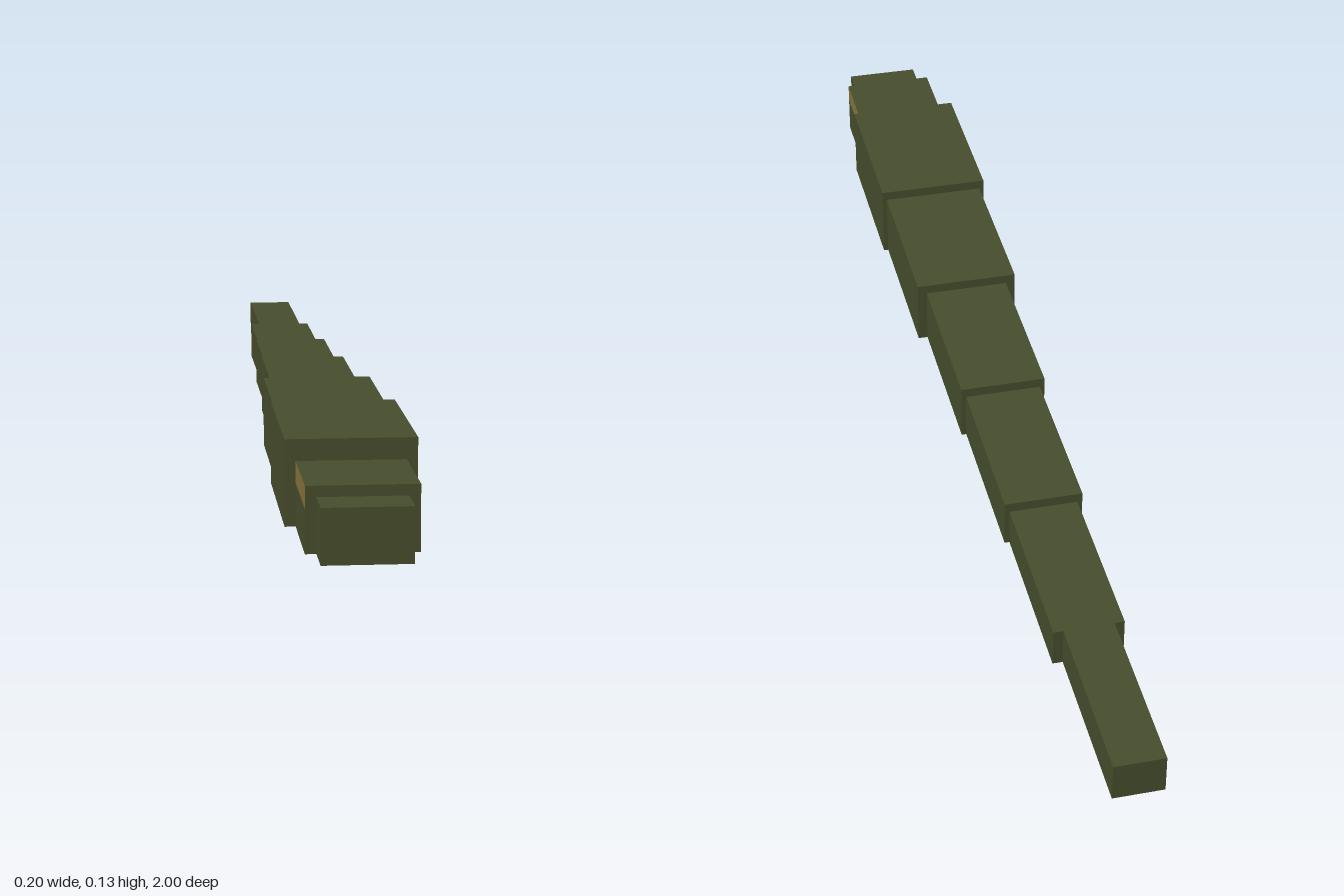
import * as THREE from 'three';

const U = 2 / 122; // one block unit: the body is 122 units long

export function createModel() {
  const scale = new THREE.MeshStandardMaterial({ color: 0x474e2d });
  scale.name = 'olive green';
  const tan = new THREE.MeshStandardMaterial({ color: 0x857440 });
  tan.name = 'tan';

  const group = new THREE.Group();
  group.name = 'blockSnake';

  // box from z (front) backwards, standing on y; sides and underside may differ in colour
  function block(name, z, length, width, y, height, side = scale, under = scale) {
    const geometry = new THREE.BoxGeometry(width * U, height * U, length * U);
    const mesh = new THREE.Mesh(geometry, [side, side, scale, under, scale, scale]);
    mesh.name = name;
    mesh.position.set(0, (y + height / 2) * U, 1 - (z + length / 2) * U);
    group.add(mesh);
  }

  // head: snout, jaw and a crown with tan sides
  block('snout', 0, 4, 8, 0, 5);
  block('jaw', 4, 10, 10, 0, 4);
  block('crown', 4, 10, 10, 4, 2, tan);

  // body: tapering segments with a tan belly, [width, height]
  const segments = [[12, 8], [11, 7], [9, 6], [8, 5], [7, 4], [5, 4]];
  segments.forEach(([width, height], i) => {
    const name = i === segments.length - 1 ? 'tailTip' : `bodySegment${i + 1}`;
    block(name, 14 + i * 18, 18, width, 0, height, scale, tan);
  });

  return group;
}
